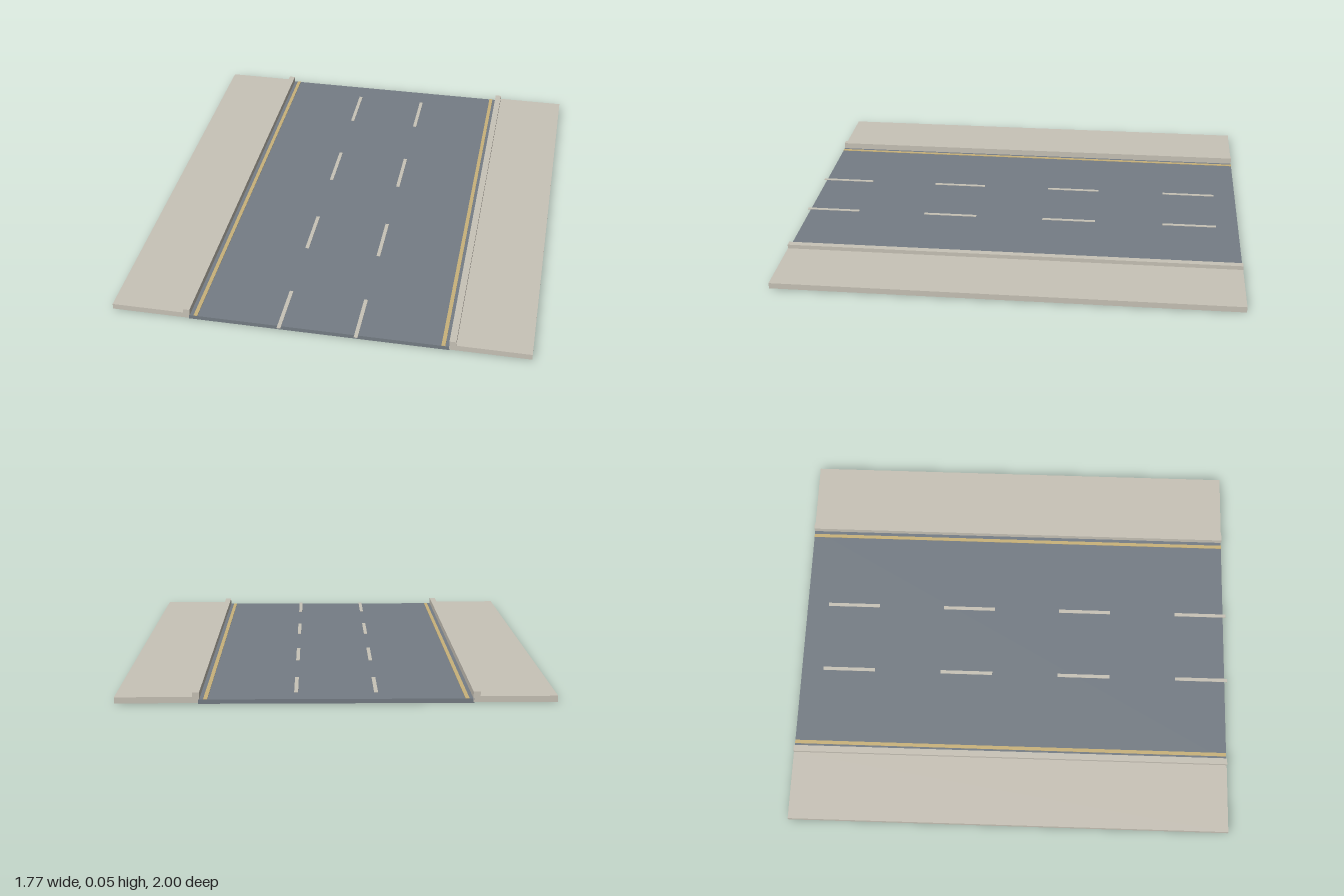
import * as THREE from 'three';

export function createModel() {
  const model = new THREE.Group();
  model.name = 'roadSection';

  const material = (name, color) => {
    const m = new THREE.MeshStandardMaterial({ color });
    m.name = name;
    return m;
  };
  const asphalt = material('asphalt', 0x757d85);
  const concrete = material('concrete', 0xc8c3b7);
  const yellowPaint = material('yellowPaint', 0xc9b27a);

  // Box given by its limits on each axis
  const slab = (name, mat, [x0, x1], [y0, y1], [z0, z1]) => {
    const mesh = new THREE.Mesh(new THREE.BoxGeometry(x1 - x0, y1 - y0, z1 - z0), mat);
    mesh.position.set((x0 + x1) / 2, (y0 + y1) / 2, (z0 + z1) / 2);
    mesh.name = name;
    model.add(mesh);
  };

  const length = [-1, 0.986];
  const roadTop = 0.018;
  const base = 0.003;

  // Carriageway
  slab('roadSurface', asphalt, [-0.55, 0.55], [0, roadTop], length);

  for (const side of [-1, 1]) {
    const label = side > 0 ? 'left' : 'right';
    const span = (a, b) => (side > 0 ? [a, b] : [-b, -a]);

    // Pavement with a raised kerb beside the road
    slab(label + 'Sidewalk', concrete, span(0.574, 0.883), [base, 0.028], length);
    slab(label + 'Curb', concrete, span(0.546, 0.574), [base, 0.046], length);

    // Painted edge line
    slab(label + 'EdgeLine', yellowPaint, span(0.514, 0.53), [roadTop - 0.001, roadTop + 0.002], length);

    // Dashed lane divider; the last dash overhangs the front edge slightly
    for (let i = 0; i < 4; i++) {
      const z = -0.9 + i * 0.552;
      slab(label + 'LaneDash' + (i + 1), concrete, span(0.154, 0.17),
        [roadTop - 0.001, roadTop + 0.002], [z, z + 0.244]);
    }
  }
  return model;
}
